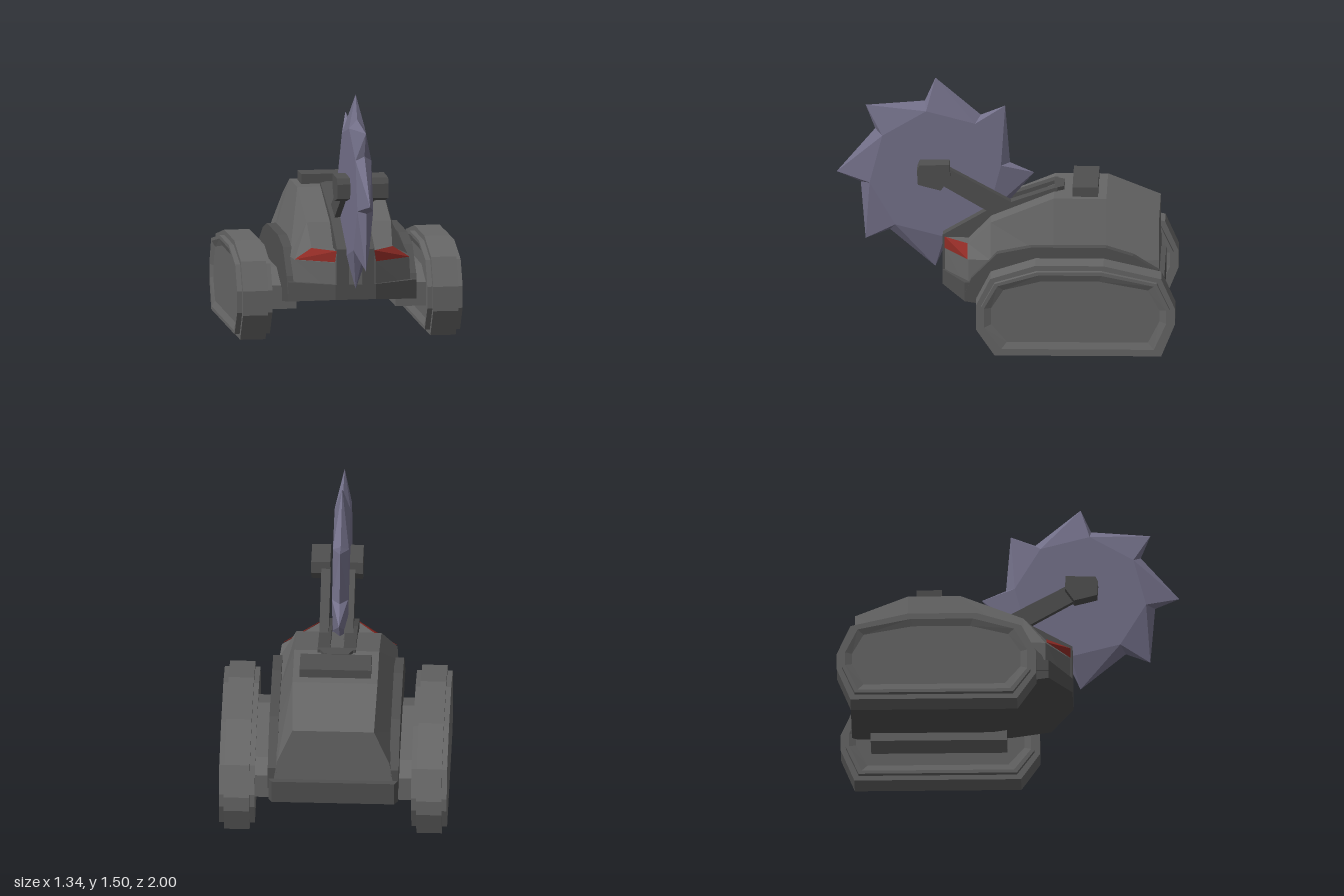
import * as THREE from 'three';

const paint = (color) => new THREE.MeshStandardMaterial({ color, flatShading: true });

// Skin a series of closed rings (counterclockwise seen from the far end), with end caps
function loft(rings) {
  const n = rings[0].length, pos = [];
  const tri = (a, b, c) => pos.push(...a, ...b, ...c);
  for (let r = 0; r < rings.length - 1; r++) {
    for (let i = 0; i < n; i++) {
      const j = (i + 1) % n, a = rings[r], b = rings[r + 1];
      tri(a[i], a[j], b[j]);
      tri(a[i], b[j], b[i]);
    }
  }
  const first = rings[0], last = rings[rings.length - 1];
  for (let i = 1; i < n - 1; i++) {
    tri(first[0], first[i + 1], first[i]);
    tri(last[0], last[i], last[i + 1]);
  }
  return fromTriangles(pos);
}

function fromTriangles(pos) {
  const g = new THREE.BufferGeometry();
  g.setAttribute('position', new THREE.Float32BufferAttribute(pos, 3));
  g.computeVertexNormals();
  return g;
}

// Extrude a side profile of [z, y] points from x0 to x1
function prism(points, x0, x1) {
  const shape = new THREE.Shape(points.map(([z, y]) => new THREE.Vector2(z, y)));
  const g = new THREE.ExtrudeGeometry(shape, { depth: x1 - x0, bevelEnabled: false });
  return g.rotateY(-Math.PI / 2).translate(x1, 0, 0);
}

export function createModel() {
  const model = new THREE.Group();
  const hullGrey = paint(0x666666), darkGrey = paint(0x505050), steel = paint(0x74718a), red = paint(0x8c2a24);
  const add = (name, geometry, material) => {
    const mesh = new THREE.Mesh(geometry, material);
    mesh.name = name;
    model.add(mesh);
    return mesh;
  };
  // Side profile part made on both sides, between distances x0 and x1 from the middle
  const addPair = (name, points, x0, x1, material, shift = 0) => {
    add(name + 'Left', prism(points, x0 + shift, x1 + shift), material);
    add(name + 'Right', prism(points, -x1 + shift, -x0 + shift), material);
  };

  // Hull: cross-sections along z as [z, base half width, shoulder half width, roof half width, roof y]
  const sections = [
    [-0.9, 0.36, 0.33, 0.24, 0.73],
    [-0.59, 0.36, 0.35, 0.25, 0.85],
    [-0.28, 0.36, 0.35, 0.25, 0.85],
    [0.09, 0.36, 0.35, 0.25, 0.7],
    [0.22, 0.35, 0.34, 0.24, 0.565],
    [0.36, 0.12, 0.12, 0.11, 0.565],
  ];
  add('hull', loft(sections.map(([z, b, s, t, y]) => [
    [b, 0.3, z], [s, 0.5, z], [t, y, z], [-t, y, z], [-s, 0.5, z], [-b, 0.3, z],
  ])), hullGrey);

  // Lower skirt with a tapered nose and raised chin
  const plan = [[0.36, -0.93], [0.38, -0.9], [0.38, 0], [0.38, 0.24], [0.12, 0.375]];
  const outline = [...plan, ...plan.map(([x, z]) => [-x, z]).reverse()];
  const chin = (z) => (z > 0.3 ? 0.28 : z > 0.2 ? 0.255 : 0.22);
  add('skirt', loft([
    outline.map(([x, z]) => [x, chin(z), z]).reverse(),
    outline.map(([x, z]) => [x, 0.37, z]).reverse(),
  ]), darkGrey);

  // Fenders arching over the tracks
  addPair('fender', [
    [-0.9, 0.3], [0.24, 0.3], [0.2, 0.4], [0.05, 0.55], [-0.15, 0.59], [-0.59, 0.59], [-0.75, 0.54], [-0.9, 0.45],
  ], 0.33, 0.385, darkGrey);

  // Headlights set into the angled nose corners
  for (const s of [1, -1]) {
    const a = [s * 0.342, 0.503, 0.226], b = [s * 0.122, 0.503, 0.364];
    const c = [s * 0.112, 0.569, 0.364], d = [s * 0.242, 0.569, 0.226];
    const quad = s > 0 ? [a, d, c, a, c, b] : [a, c, d, a, b, c];
    const light = add(s > 0 ? 'headlightLeft' : 'headlightRight', fromTriangles(quad.flat()), red);
    light.material.side = THREE.DoubleSide;
  }

  // Rails on each side of the blade slot, and the cap behind it
  addPair('slotRail', [
    [-0.3, 0.7], [0.3, 0.37], [0.375, 0.37], [0.375, 0.58], [0.1, 0.74], [-0.28, 0.872], [-0.3, 0.872],
  ], 0.04, 0.112, darkGrey);
  add('slotCap', loft([
    [[0.07, 0.8, -0.34], [0.07, 0.872, -0.34], [-0.07, 0.872, -0.34], [-0.07, 0.8, -0.34]],
    [[0.11, 0.8, -0.28], [0.11, 0.872, -0.28], [-0.11, 0.872, -0.28], [-0.11, 0.8, -0.28]],
  ]), darkGrey);

  // Roof bar
  const roofBar = add('roofBar', new THREE.BoxGeometry(0.42, 0.07, 0.15), darkGrey);
  roofBar.position.set(0, 0.873, -0.465);

  // Blade arms and the hub blocks at their ends
  addPair('bladeArm', [[-0.06, 0.69], [0.1, 0.72], [0.39, 0.89], [0.34, 0.985], [-0.06, 0.765]], 0.045, 0.1, darkGrey, 0.012);
  addPair('hubBlock', [
    [0.385, 0.87], [0.52, 0.905], [0.525, 0.99], [0.51, 1.025], [0.335, 1.028], [0.33, 0.95],
  ], 0.04, 0.152, darkGrey, 0.02);

  // Saw blade: eight hooked teeth bevelled to a thin edge
  const teeth = 8, pos = [], cx = -0.008, half = 0.047;
  const at = (angle, r, x) => [cx + x, 0.93 + r * Math.sin(angle), 0.42 + r * Math.cos(angle)];
  for (const s of [1, -1]) {
    const tri = (a, b, c) => (s < 0 ? pos.push(...a, ...b, ...c) : pos.push(...a, ...c, ...b));
    for (let i = 0; i < teeth; i++) {
      const step = (Math.PI * 2) / teeth, tipAngle = i * step, gap = tipAngle - 0.14;
      const tip = at(tipAngle, 0.58, 0);
      const v0 = at(gap, 0.443, 0), v1 = at(gap + step, 0.443, 0);
      const p0 = at(gap, 0.39, s * half), p1 = at(gap + step, 0.39, s * half);
      tri(at(0, 0, s * half), p0, p1);
      tri(p0, v0, tip);
      tri(p0, tip, p1);
      tri(p1, tip, v1);
    }
  }
  // Corners run from +z to +y, which faces -x
  add('sawBlade', fromTriangles(pos), steel);

  // Tracks: one side outline, stepped and inset across the width
  const track = [
    [0.17, 0.31], [0.17, 0.165], [0.06, 0.005], [-0.92, 0.005], [-1, 0.2],
    [-1, 0.3], [-0.92, 0.48], [-0.58, 0.558], [-0.18, 0.558], [0.085, 0.475],
  ];
  const inset = (x, d) => track.map(([z, y]) => [
    x, 0.28 + (y - 0.28) * (1 - d / 0.278), -0.415 + (z + 0.415) * (1 - d / 0.585),
  ]);
  const widths = [
    [0.475, 0.09], [0.46, 0.05], [0.46, 0.03], [0.49, 0.03], [0.49, 0],
    [0.64, 0], [0.64, 0.03], [0.67, 0.03], [0.67, 0.05], [0.655, 0.09],
  ];
  const left = widths.map(([x, d]) => inset(x, d));
  const right = widths.map(([x, d]) => inset(-x, d)).reverse();
  add('trackLeft', loft(left), hullGrey);
  add('trackRight', loft(right), hullGrey);

  // Mounts joining tracks to the body
  addPair('trackMount', [
    [-0.82, 0.17], [-0.02, 0.17], [-0.02, 0.31], [-0.2, 0.39], [-0.72, 0.39], [-0.82, 0.33],
  ], 0.295, 0.48, hullGrey);

  return model;
}
